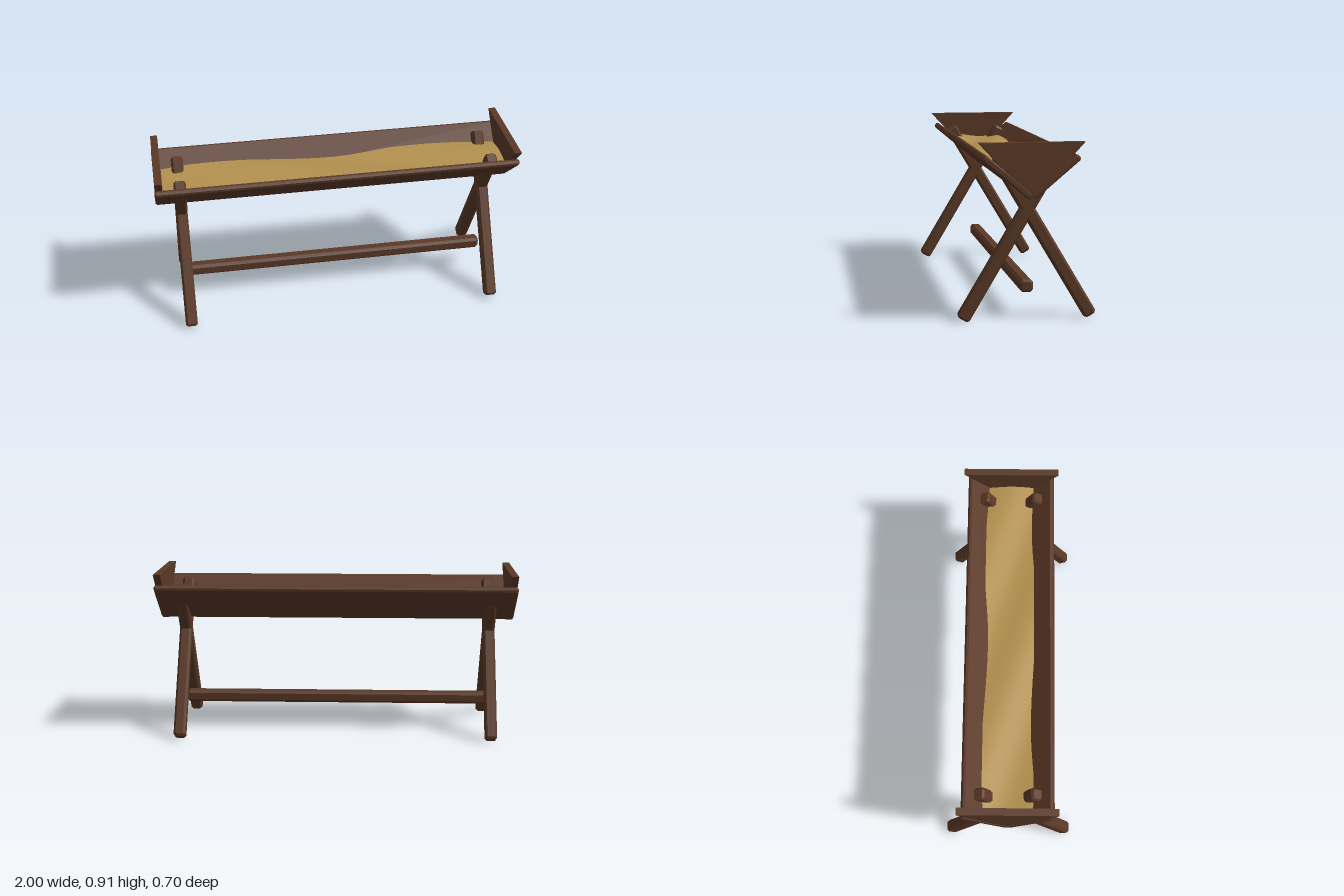
import * as THREE from 'three';

const wood = new THREE.MeshStandardMaterial({ color: 0x5a3826 });
wood.name = 'dark wood';
const feed = new THREE.MeshStandardMaterial({ color: 0xb3914f, side: THREE.DoubleSide });
feed.name = 'golden feed';

// Timber along z with all edges and ends chamfered by c
function beamGeometry(w, h, length, c) {
  const x = w / 2, y = h / 2;
  const shape = new THREE.Shape([
    [x - c, -y], [x, -y + c], [x, y - c], [x - c, y],
    [-x + c, y], [-x, y - c], [-x, -y + c], [-x + c, -y],
  ].map(([a, b]) => new THREE.Vector2(a, b)));
  const geo = new THREE.ExtrudeGeometry(shape, {
    depth: length - 2 * c, bevelEnabled: true, bevelSegments: 1,
    bevelSize: c * 0.8, bevelOffset: -c * 0.8, bevelThickness: c,
  });
  return geo.translate(0, 0, -length / 2 + c);
}

export function createModel() {
  const model = new THREE.Group();
  model.name = 'feedingTrough';
  const add = (name, geo, mat = wood) => {
    const mesh = new THREE.Mesh(geo, mat);
    mesh.name = name;
    model.add(mesh);
    return mesh;
  };

  // Crossed legs: each runs from a foot up through the opposite board
  const foot = { z: 0.33, y: 0.02 }, tip = { z: -0.155, y: 0.838 };
  const dz = tip.z - foot.z, dy = tip.y - foot.y;
  const legGeo = beamGeometry(0.066, 0.066, Math.hypot(dz, dy), 0.012);
  for (const x of [-0.8625, 0.8625]) {
    for (const s of [1, -1]) {
      const leg = add(s > 0 ? 'frontLeg' : 'backLeg', legGeo);
      leg.position.set(x, (foot.y + tip.y) / 2, s * (foot.z + tip.z) / 2);
      leg.rotation.x = -Math.atan2(dy, s * dz);
    }
  }

  // Low stretcher between the leg pairs
  const stretcher = add('stretcher', beamGeometry(0.068, 0.066, 1.73, 0.014).rotateY(Math.PI / 2));
  stretcher.position.y = 0.177;

  // Two sloping boards forming the V
  const boardGeo = beamGeometry(0.311, 0.034, 2, 0.009).rotateY(Math.PI / 2);
  for (const s of [1, -1]) {
    const board = add(s > 0 ? 'frontBoard' : 'backBoard', boardGeo);
    board.position.set(0, 0.748, s * 0.119);
    board.rotation.x = -s * Math.atan2(0.2, 0.238);
  }

  // Triangular end plates
  const triangle = new THREE.Shape([
    new THREE.Vector2(0, 0.635), new THREE.Vector2(0.265, 0.92), new THREE.Vector2(-0.265, 0.92),
  ]);
  const plateGeo = new THREE.ExtrudeGeometry(triangle, { depth: 0.039, bevelEnabled: false })
    .translate(0, 0, -0.0195).rotateY(Math.PI / 2);
  for (const s of [1, -1]) {
    add(s > 0 ? 'leftEndPlate' : 'rightEndPlate', plateGeo).position.x = s * 0.9775;
  }

  // Gently rolling feed surface
  const feedGeo = new THREE.PlaneGeometry(1.91, 0.272, 64, 12).rotateX(-Math.PI / 2);
  const p = feedGeo.attributes.position;
  for (let i = 0; i < p.count; i++) {
    const x = p.getX(i), z = p.getZ(i);
    p.setY(i, 0.781 - 0.011 * Math.sin(5.4 * (x + 0.25) - 16 * (z + 0.1)));
  }
  feedGeo.computeVertexNormals();
  add('feed', feedGeo, feed).position.z = -0.003;

  return model;
}
